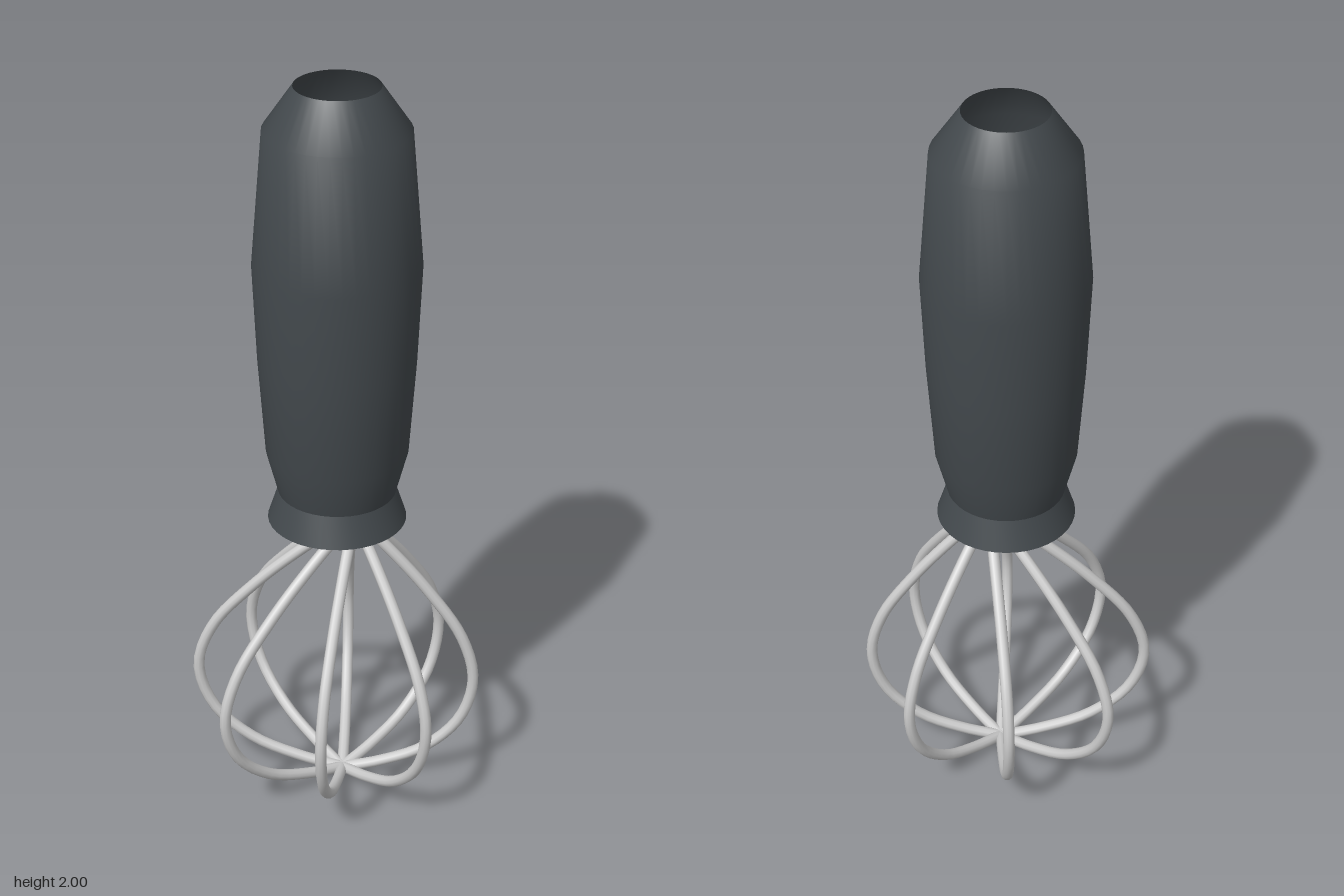
import * as THREE from 'three';
import { toCreasedNormals } from 'three/addons/utils/BufferGeometryUtils.js';

export function createModel() {
  const model = new THREE.Group();
  model.name = 'whisk';
  const dark = new THREE.MeshStandardMaterial({ color: 0x43494d, side: THREE.DoubleSide });
  const steel = new THREE.MeshStandardMaterial({ color: 0xcccccc });

  function lathe(name, points) {
    const geometry = new THREE.LatheGeometry(points.map(([r, y]) => new THREE.Vector2(r, y)), 40);
    const mesh = new THREE.Mesh(toCreasedNormals(geometry, 0.6), dark);
    mesh.name = name;
    model.add(mesh);
  }

  // Hollow grip, open at the top
  lathe('handle', [[0.153, 0.905], [0.183, 1.02], [0.201, 1.28], [0.212, 1.54], [0.183, 1.89], [0.107, 2]]);

  // Flared collar with a closed underside
  lathe('collar', [[0, 0.823], [0.18, 0.823], [0.153, 0.905]]);

  // Wire outline: radius, height, sideways lean of the cage
  const profile = [
    [0, 0.822, 0.045], [0.125, 0.71, 0.028], [0.235, 0.595, 0.013], [0.335, 0.46, 0],
    [0.372, 0.33, -0.005], [0.335, 0.2, -0.003], [0.235, 0.1, 0.003], [0.11, 0.045, 0.01], [0, 0.016, 0.015],
  ];
  const wires = new THREE.Group();
  wires.name = 'wireCage';
  for (let i = 0; i < 8; i++) {
    const a = (i * Math.PI) / 4;
    const path = new THREE.CatmullRomCurve3(profile.map(([r, y, lean]) =>
      new THREE.Vector3(r * Math.cos(a) + lean, y, r * Math.sin(a))));
    const wire = new THREE.Mesh(new THREE.TubeGeometry(path, 36, 0.015, 10), steel);
    wire.name = 'wire';
    wires.add(wire);
  }

  // Joint where the wires cross at the bottom
  const joint = new THREE.Mesh(new THREE.SphereGeometry(0.016, 12, 8), steel);
  joint.name = 'wireJoint';
  joint.position.set(0.015, 0.016, 0);
  wires.add(joint);
  model.add(wires);
  return model;
}
